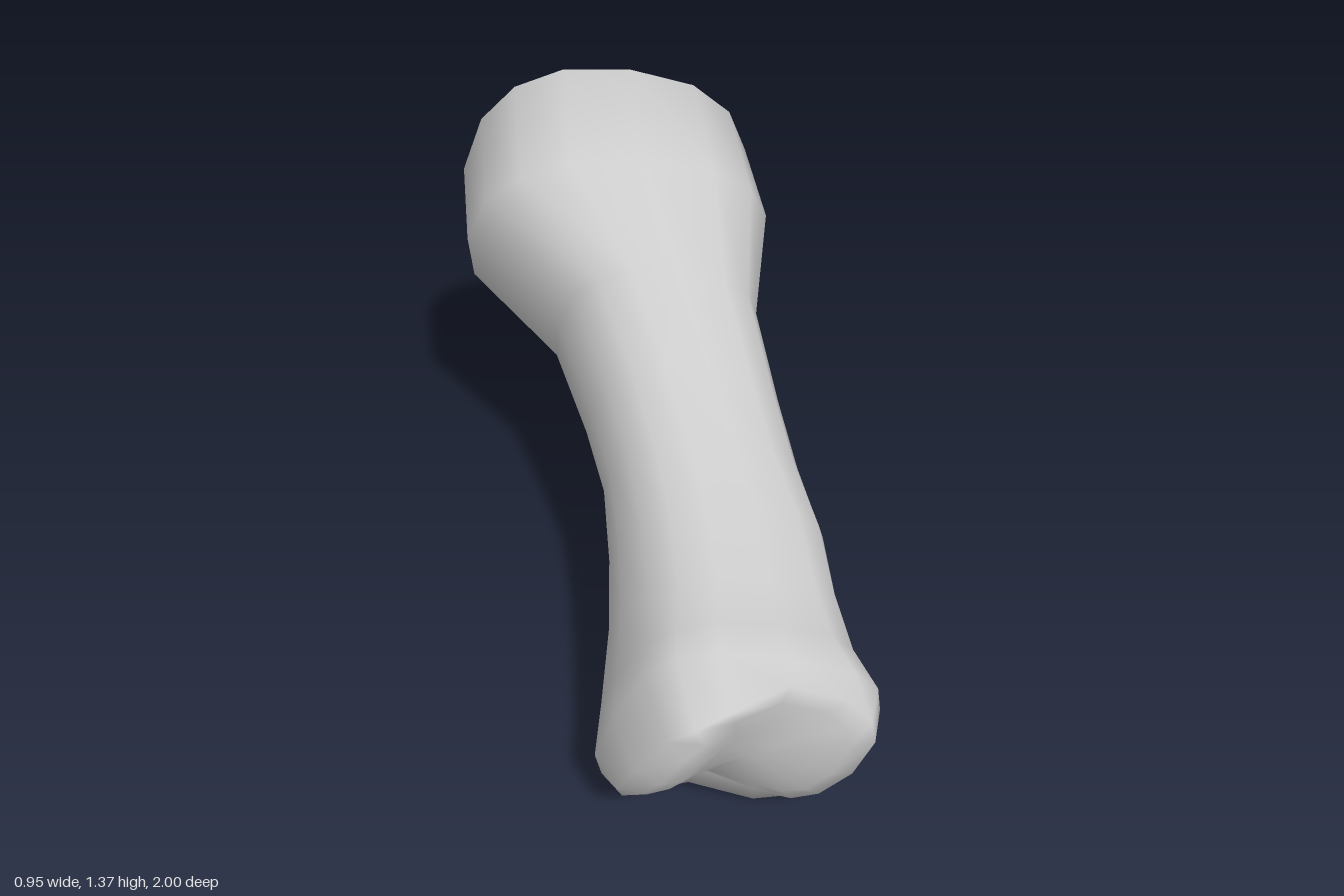
import * as THREE from 'three';

const SIDES = 16;

// Stations from the rear joint to the front joint:
// topZ, topY, bottomZ, bottomY, minX, maxX, roll (degrees), squareness, taper of the underside, notch
const stations = [
  [-0.97, 1.05, -1.0, 0.67, -0.16, 0.17, -10, 2.3, 0.1, 0],
  [-0.81, 1.25, -0.95, 0.64, -0.35, 0.29, -10, 2.4, 0.25, 0],
  [-0.69, 1.365, -0.82, 0.58, -0.48, 0.34, -11, 2.4, 0.4, 0],
  [-0.38, 1.24, -0.71, 0.535, -0.475, 0.37, -10, 2.5, 0.45, 0],
  [-0.15, 1.05, -0.37, 0.49, -0.24, 0.31, -12, 2.5, 0.2, 0],
  [0.07, 0.9, -0.1, 0.435, -0.17, 0.34, -14, 2.4, 0, 0],
  [0.26, 0.79, 0.04, 0.375, -0.135, 0.37, -16, 2.4, 0, 0],
  [0.45, 0.73, 0.22, 0.275, -0.135, 0.41, -18, 2.5, 0, 0],
  [0.62, 0.67, 0.41, 0.195, -0.15, 0.42, -20, 2.6, 0, 0],
  [0.75, 0.66, 0.58, 0.05, -0.18, 0.44, -20, 2.9, 0, 0.03],
  [0.84, 0.65, 0.73, -0.015, -0.205, 0.48, -20, 3.2, 0, 0.06],
];
const frontFace = [0.91, 0.59, 0.77, 0.05, -0.16, 0.45, -20, 3.2, 0, 0.06];

const bump = (w, c, s) => Math.exp(-(((w - c) / s) ** 2));

// Rounded front face: two knuckles, the right one taller, with a groove running down between them
function knuckle(u, v) {
  const tall = 0.6 + 0.4 * THREE.MathUtils.smoothstep(v, -0.9, 0.2);
  return -0.04 + 0.055 * (1 - v * v) + 0.115 * tall * bump(u, -0.75, 0.42) + 0.04 * bump(u, 0.85, 0.35);
}

// Rolled superellipse fitted to the station's extents
function section([tz, ty, bz, by, x0, x1, roll, n, taper, notch], scale = 1, shaped = false) {
  const r = THREE.MathUtils.degToRad(roll);
  const raw = [];
  for (let i = 0; i < SIDES; i++) {
    const a = (i / SIDES) * Math.PI * 2;
    const c = Math.cos(a), s = Math.sin(a);
    const u = Math.sign(c) * Math.abs(c) ** (2 / n);
    const v = Math.sign(s) * Math.abs(s) ** (2 / n);
    raw.push({ u, v, x: u * Math.cos(r) - v * Math.sin(r), y: u * Math.sin(r) + v * Math.cos(r) });
  }
  const mx = Math.max(...raw.map((p) => p.x));
  const my = Math.max(...raw.map((p) => p.y));
  return raw.map((p) => {
    const h = (scale * p.y) / my;
    const w = ((scale * p.x) / mx) * (1 - taper * Math.min(h, 0) ** 2);
    const lift = p.v < 0 ? notch * scale * bump(p.u, -0.05, 0.45) : 0;
    return [
      (x0 + x1) / 2 + ((x1 - x0) / 2) * w,
      (ty + by) / 2 + ((ty - by) / 2) * h + lift,
      (tz + bz) / 2 + ((tz - bz) / 2) * h + (shaped ? knuckle(p.u * scale, p.v * scale) : 0),
    ];
  });
}

function boneGeometry() {
  const rings = stations.map((s) => section(s));
  for (const scale of [1, 0.8, 0.6, 0.4, 0.2]) rings.push(section(frontFace, scale, true));

  const pos = rings.flat(2);
  const index = [];
  const at = (j, i) => j * SIDES + (i % SIDES);
  for (let j = 0; j < rings.length - 1; j++) {
    for (let i = 0; i < SIDES; i++) {
      index.push(at(j, i), at(j, i + 1), at(j + 1, i));
      index.push(at(j, i + 1), at(j + 1, i + 1), at(j + 1, i));
    }
  }
  // Close both ends with a centre point
  const back = pos.length / 3, front = back + 1, last = rings.length - 1;
  pos.push(0, 0.86, -1, 0.145, 0.32, 0.84 + knuckle(0, 0));
  for (let i = 0; i < SIDES; i++) {
    index.push(back, at(0, i + 1), at(0, i));
    index.push(front, at(last, i), at(last, i + 1));
  }
  const g = new THREE.BufferGeometry();
  g.setAttribute('position', new THREE.Float32BufferAttribute(pos, 3));
  g.setIndex(index);
  g.computeVertexNormals();
  return g;
}

export function createModel() {
  const group = new THREE.Group();
  group.name = 'fingerBone';
  const bone = new THREE.Mesh(boneGeometry(), new THREE.MeshStandardMaterial({ color: 0xcccccc }));
  bone.name = 'bone';
  group.add(bone);
  return group;
}
